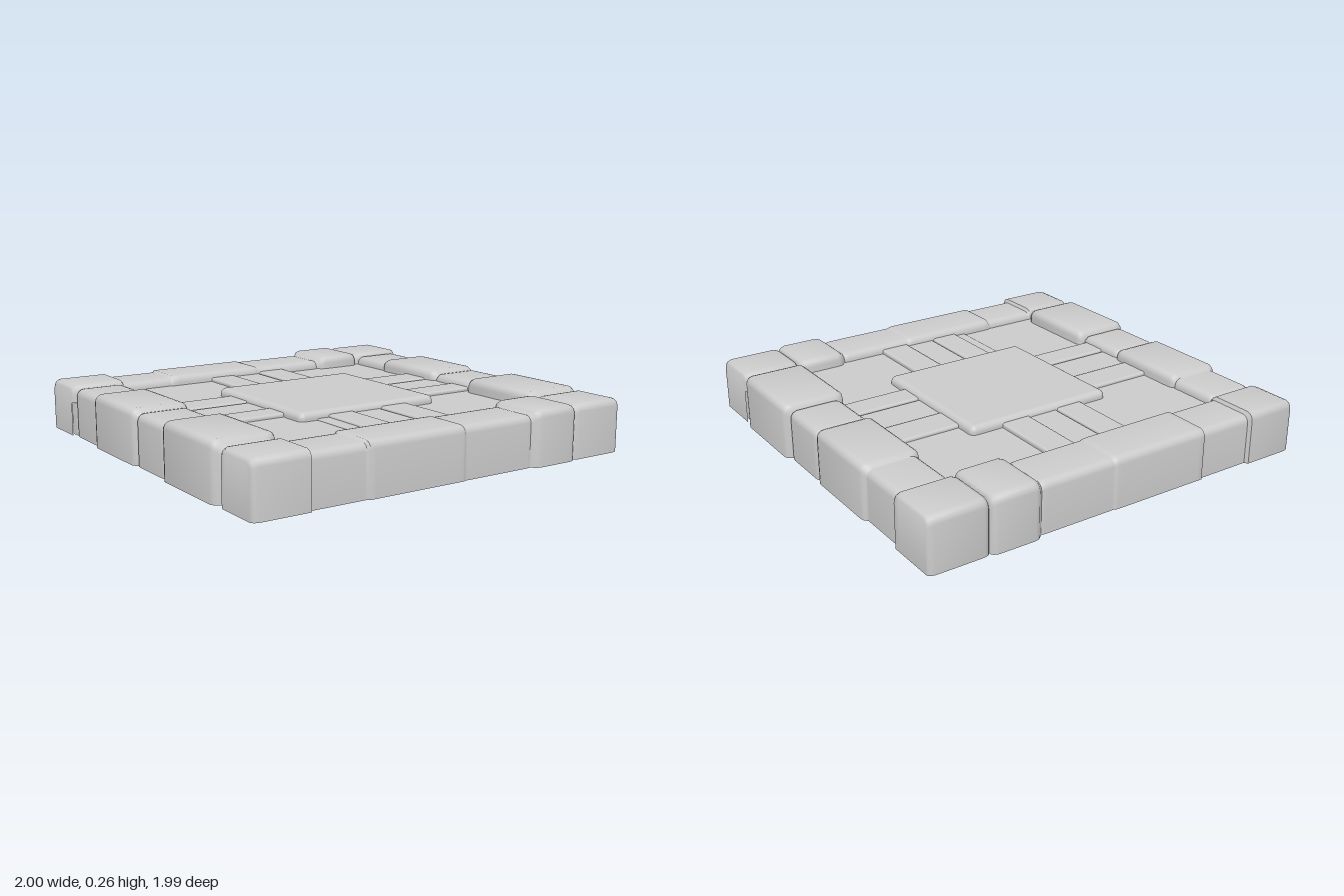
import * as THREE from 'three';
import { toCreasedNormals } from 'three/addons/utils/BufferGeometryUtils.js';
import { RoundedBoxGeometry } from 'three/addons/geometries/RoundedBoxGeometry.js';

const stone = new THREE.MeshStandardMaterial({ color: 0xcccccc, side: THREE.DoubleSide });
const FLOOR = 0.195;
const FLOOR_HALF = 0.755;
const SKIRT = 0.165;

function addMesh(group, name, geometry) {
  const mesh = new THREE.Mesh(geometry, stone);
  mesh.name = name;
  group.add(mesh);
}

// Rounded block open at the bottom, from base y0 to top y1
function shell(x0, x1, z0, z1, y0, y1, r) {
  const geo = new RoundedBoxGeometry(x1 - x0, y1 - y0 + r, z1 - z0, 3, r);
  geo.translate((x0 + x1) / 2, (y0 - r + y1) / 2, (z0 + z1) / 2);
  const p = geo.attributes.position;
  const n = geo.attributes.normal;
  const pos = [], nor = [];
  for (let i = 0; i < p.count; i += 3) {
    const corners = [i, i + 1, i + 2];
    if (corners.every((c) => p.getY(c) < y0 + 1e-4)) continue;
    for (const c of corners) {
      pos.push(p.getX(c), Math.max(y0, p.getY(c)), p.getZ(c));
      nor.push(n.getX(c), n.getY(c), n.getZ(c));
    }
  }
  const out = new THREE.BufferGeometry();
  out.setAttribute('position', new THREE.Float32BufferAttribute(pos, 3));
  out.setAttribute('normal', new THREE.Float32BufferAttribute(nor, 3));
  return out;
}

// Cross-section of a border stone: outer wall, rounded top, short inner wall
function profile(outer, inner, h, shrink) {
  const o = outer - shrink, i = inner + shrink, top = h - shrink, r = 0.035;
  const pts = [[o, 0], [o, top - r]];
  for (let k = 1; k <= 4; k++) {
    const a = (k / 4) * Math.PI / 2;
    pts.push([o - r + r * Math.cos(a), top - r + r * Math.sin(a)]);
  }
  for (let k = 4; k >= 0; k--) {
    const a = (k / 4) * Math.PI / 2;
    pts.push([i + r - r * Math.cos(a), top - r + r * Math.sin(a)]);
  }
  pts.push([i, SKIRT]);
  return pts;
}

// Row of stones along one side, lofted with a groove at each joint.
// Stone: [start, end, outer, inner, height, start groove, end groove]
function borderRow(axis, sign, stones, capped) {
  const sections = [];
  for (const [a, b, o, i, h, ga, gb] of stones) {
    const steps = [[a, ga], [a + 0.01, ga * 0.35], [a + 0.03, 0],
      [b - 0.03, 0], [b - 0.01, gb * 0.35], [b, gb]];
    for (const [t, g] of steps) sections.push({ t, pts: profile(o, i, h, g) });
  }
  if (capped) {
    // drop the end sections to the ground to form end walls
    const drop = (s) => ({ t: s.t, pts: s.pts.map(([u]) => [u, 0]) });
    sections.unshift(drop(sections[0]));
    sections.push(drop(sections[sections.length - 1]));
  }
  const pos = [], index = [];
  const n = sections[0].pts.length;
  for (const { t, pts } of sections) {
    for (const [u, y] of pts) {
      if (axis === 'z') pos.push(t, y, sign * u);
      else pos.push(sign * u, y, t);
    }
  }
  const flip = (axis === 'x') !== (sign < 0);
  for (let j = 0; j < sections.length - 1; j++) {
    for (let k = 0; k < n - 1; k++) {
      const a = j * n + k, b = a + n, c = b + 1, d = a + 1;
      if (flip) index.push(a, d, b, b, d, c);
      else index.push(a, b, d, b, c, d);
    }
  }
  const geo = new THREE.BufferGeometry();
  geo.setAttribute('position', new THREE.Float32BufferAttribute(pos, 3));
  geo.setIndex(index);
  return toCreasedNormals(geo, 0.9);
}

export function createModel() {
  const model = new THREE.Group();
  model.name = 'stoneFloorTile';

  // Front and back rows, including the corner stones
  for (const [name, sign, d] of [['frontBorder', 1, -0.007], ['backBorder', -1, 0]]) {
    addMesh(model, name, borderRow('z', sign, [
      [-0.99, -0.725, 0.987 + d, 0.725, 0.25, 0.02, 0],
      [-0.715, -0.45, 0.97 + d, 0.725, 0.234, 0, 0],
      [-0.44, 0.055, 0.98 + d, 0.718, 0.243, 0, 0.002],
      [0.06, 0.44, 0.974 + d, 0.722, 0.238, 0, 0.004],
      [0.455, 0.695, 0.998 + d, 0.698, 0.26, 0.015, 0.02],
      [0.695, 0.985, 0.987 + d, 0.715, 0.255, 0.02, 0.015],
    ], true));
  }

  // Left and right rows, running in under the corner stones
  for (const [name, sign, d] of [['leftBorder', 1, -0.01], ['rightBorder', -1, 0]]) {
    addMesh(model, name, borderRow('x', sign, [
      [-0.79, -0.725, 0.97 + d, 0.73 + d, 0.228, 0, 0.008],
      [-0.725, -0.475, 0.976 + d, 0.724 + d, 0.238, 0.01, 0],
      [-0.47, -0.035, 0.995 + d, 0.712 + d, 0.257, 0.018, 0.018],
      [-0.03, 0.24, 0.982 + d / 2, 0.725 + d, 0.242, 0.008, 0.008],
      [0.245, 0.695, 1.0, 0.698 + d, 0.264, 0.02, 0.02],
      [0.705, 0.79, 0.965, 0.73 + d, 0.235, 0, 0],
    ], false));
  }

  // Recessed floor panels in the four corners
  for (const [x0, x1] of [[-FLOOR_HALF, -0.22], [0.22, FLOOR_HALF]]) {
    for (const [z0, z1] of [[-FLOOR_HALF, -0.25], [0.22, FLOOR_HALF]]) {
      const panel = new THREE.PlaneGeometry(x1 - x0, z1 - z0).rotateX(-Math.PI / 2);
      panel.translate((x0 + x1) / 2, FLOOR, (z0 + z1) / 2);
      addMesh(model, 'floorPanel', panel);
    }
  }

  // Square rim hanging below the edge of the floor
  const rimRadius = FLOOR_HALF * Math.SQRT2;
  const rim = new THREE.CylinderGeometry(rimRadius, rimRadius, FLOOR - 0.125, 4, 1, true);
  rim.rotateY(Math.PI / 4).translate(0, (FLOOR + 0.125) / 2, 0);
  addMesh(model, 'floorRim', toCreasedNormals(rim, 0.5));

  // Three planks on each side of the centre: [from, to, top]
  const across = [[-0.225, -0.086, 0.214], [-0.084, 0.068, 0.207], [0.07, 0.22, 0.216]];
  const along = [[-0.265, -0.102, 0.212], [-0.1, 0.088, 0.206], [0.09, 0.225, 0.214]];
  for (const [a, b, top] of across) {
    addMesh(model, 'backPlank', shell(a, b, -FLOOR_HALF, -0.36, 0.175, top, 0.012));
    addMesh(model, 'frontPlank', shell(a, b, 0.35, FLOOR_HALF, 0.175, top, 0.012));
  }
  addMesh(model, 'frontPlankEdge', shell(-0.285, -0.22, 0.36, FLOOR_HALF, 0.185, 0.202, 0.006));
  for (const [a, b, top] of along) {
    addMesh(model, 'rightPlank', shell(-FLOOR_HALF, -0.36, a, b, 0.175, top, 0.012));
    addMesh(model, 'leftPlank', shell(0.37, FLOOR_HALF, a, b, 0.175, top, 0.012));
  }

  // Raised square slab in the middle
  addMesh(model, 'centreSlab', shell(-0.375, 0.385, -0.375, 0.365, 0.18, 0.235, 0.03));

  return model;
}
